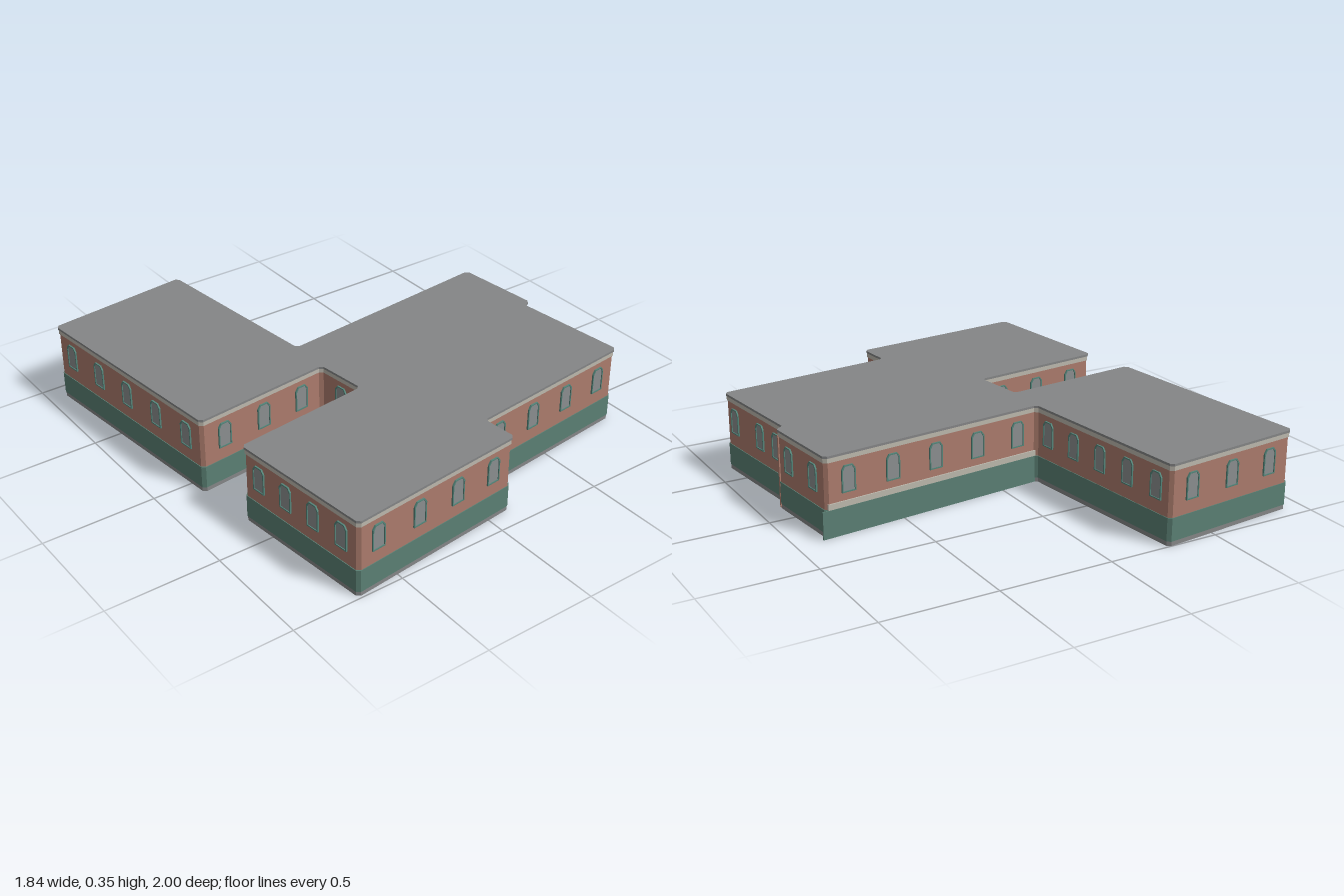
import * as THREE from 'three';

const mat = (name, color, side = THREE.FrontSide) => {
  const m = new THREE.MeshStandardMaterial({ color, side });
  m.name = name;
  return m;
};

// Footprint corners (x, z) in order, with the window positions along the wall that starts there
const walls = [
  [-0.92, -0.93, [0.18, 0.5, 0.83]],
  [-0.27, -1.0, [0.1, 0.3, 0.5, 0.7, 0.9]],
  [-0.18, -0.155, [0.1, 0.3, 0.5, 0.7, 0.9]],
  [0.86, -0.26, [0.25, 0.76]],
  [0.897, 0.125, []],
  [0.86, 0.13, [0.15, 0.42, 0.85]],
  [0.915, 0.655, [0.13, 0.38, 0.63, 0.88]],
  [0.1, 0.745, [0.5]],
  [0.115, 0.905, [0.13, 0.37, 0.62, 0.88]],
  [-0.7, 0.99, [0.14, 0.38, 0.62, 0.86]],
  [-0.77, 0.335, [0.18, 0.5, 0.82]],
  [-0.145, 0.265, [0.5]],
  [-0.175, 0.02, [0.18, 0.5, 0.82]],
  [-0.81, 0.085, [0.1, 0.3, 0.5, 0.7, 0.9]],
];
const corners = walls.map(([x, z]) => new THREE.Vector2(x, z));
const count = corners.length;

// Footprint with every corner clipped and pushed outward by a small amount
function footprint(out) {
  const clip = 0.014, pts = [];
  corners.forEach((c, i) => {
    const a = corners[(i + count - 1) % count], b = corners[(i + 1) % count];
    const d1 = c.clone().sub(a).normalize(), d2 = b.clone().sub(c).normalize();
    const shift = new THREE.Vector2(d1.y + d2.y, -d1.x - d2.x).multiplyScalar(out);
    const p = c.clone().add(shift);
    pts.push(p.clone().addScaledVector(d1, -clip), p.clone().addScaledVector(d2, clip));
  });
  return new THREE.Shape(pts.map((p) => new THREE.Vector2(p.x, -p.y)));
}

export function createModel() {
  const model = new THREE.Group();
  model.name = 'building';

  const brick = mat('brick', 0xac7c6d);
  const green = mat('green base', 0x5b8074);
  const cream = mat('pale trim', 0xbdb9ae);
  const grey = mat('roof grey', 0x858687);
  const glass = mat('window glass', 0x8b8f90);
  const frame = mat('window frame', 0x55857a);

  const add = (parent, name, geometry, material) => {
    const m = new THREE.Mesh(geometry, material);
    m.name = name;
    parent.add(m);
    return m;
  };

  // Horizontal layers: name, bottom, top, outset, [caps, sides]
  const layers = [
    ['plinth', 0, 0.02, 0.001, [brick, grey]],
    ['base', 0.02, 0.12, 0.003, [green, green]],
    ['brickWalls', 0.12, 0.32, 0, [brick, brick]],
    ['cornice', 0.32, 0.34, 0.003, [cream, cream]],
    ['roof', 0.34, 0.35, 0.005, [grey, grey]],
  ];
  for (const [name, y0, y1, out, mats] of layers) {
    const g = new THREE.ExtrudeGeometry(footprint(out), { depth: y1 - y0, bevelEnabled: false });
    g.rotateX(-Math.PI / 2);
    add(model, name, g, mats).position.y = y0;
  }

  // Clipped-top window outline
  const outline = (Type, w, y0, y1) => new Type([
    [-w, y0], [w, y0], [w, y1 - 0.018], [w * 0.6, y1], [-w * 0.6, y1], [-w, y1 - 0.018],
  ].map(([x, y]) => new THREE.Vector2(x, y)));
  const frameShape = outline(THREE.Shape, 0.032, 0, 0.115);
  frameShape.holes.push(outline(THREE.Path, 0.027, 0.005, 0.11));
  const frameGeo = new THREE.ExtrudeGeometry(frameShape, { depth: 0.007, bevelEnabled: false });
  const glassGeo = new THREE.ShapeGeometry(outline(THREE.Shape, 0.028, 0.004, 0.111));
  glassGeo.translate(0, 0, 0.003);

  // Group on a wall, with local +z pointing out of it
  const onWall = (i, t, name) => {
    const a = corners[i], b = corners[(i + 1) % count];
    const g = new THREE.Group();
    g.name = name;
    g.position.set(a.x + (b.x - a.x) * t, 0, a.y + (b.y - a.y) * t);
    g.rotation.y = Math.atan2(b.y - a.y, a.x - b.x);
    model.add(g);
    return g;
  };

  walls.forEach(([, , spots], i) => spots.forEach((t) => {
    const w = onWall(i, t, 'window');
    w.position.y = 0.18;
    add(w, 'windowFrame', frameGeo, frame);
    add(w, 'windowGlass', glassGeo, glass);
  }));

  // Pale sill band and overrunning base panel on the long back wall
  const back = onWall(2, 0.5, 'backWallTrim');
  add(back, 'sillBand', new THREE.BoxGeometry(1.03, 0.025, 0.008), cream).position.set(0, 0.1325, 0.002);
  add(back, 'basePanel', new THREE.BoxGeometry(1.06, 0.12, 0.006), green).position.set(-0.013, 0.06, 0.004);

  // Full-height brick return at the step in the side wall
  const step = onWall(4, 0.5, 'sideStep');
  add(step, 'brickReturn', new THREE.BoxGeometry(0.036, 0.32, 0.008), brick).position.set(0, 0.16, 0.002);

  return model;
}
